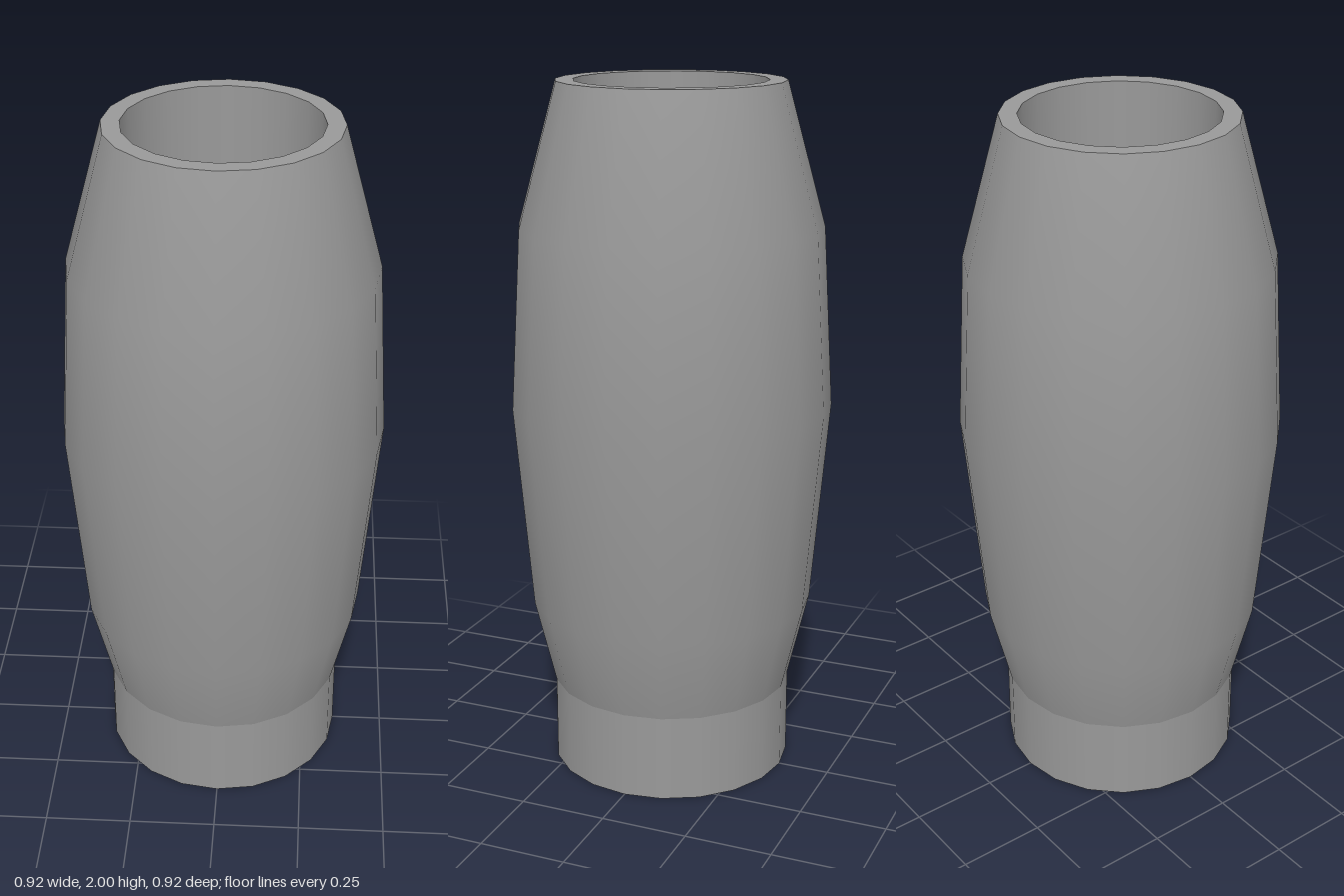
import * as THREE from 'three';

const SIDES = 20;

export function createModel() {
  const group = new THREE.Group();
  const material = new THREE.MeshStandardMaterial({ color: 0x999999, side: THREE.DoubleSide });

  // Each part is a profile of [radius, height] points turned around the y axis
  const turn = (name, profile) => {
    const points = profile.map(([r, y]) => new THREE.Vector2(r, y));
    const geometry = new THREE.LatheGeometry(points, SIDES);
    geometry.normalizeNormals();
    const mesh = new THREE.Mesh(geometry, material);
    mesh.name = name;
    group.add(mesh);
  };

  // Straight collar, open underneath
  turn('collar', [[0.35, 0], [0.35, 0.25]]);
  // Bulging sleeve that tapers to the mouth
  turn('sleeve', [[0.35, 0.25], [0.41, 0.5], [0.46, 1.09], [0.43, 1.6], [0.32, 2]]);
  // Flat rim and the wall inside the mouth
  turn('rim', [[0.32, 2], [0.27, 2]]);
  turn('innerWall', [[0.27, 2], [0.27, 1.6]]);

  return group;
}
